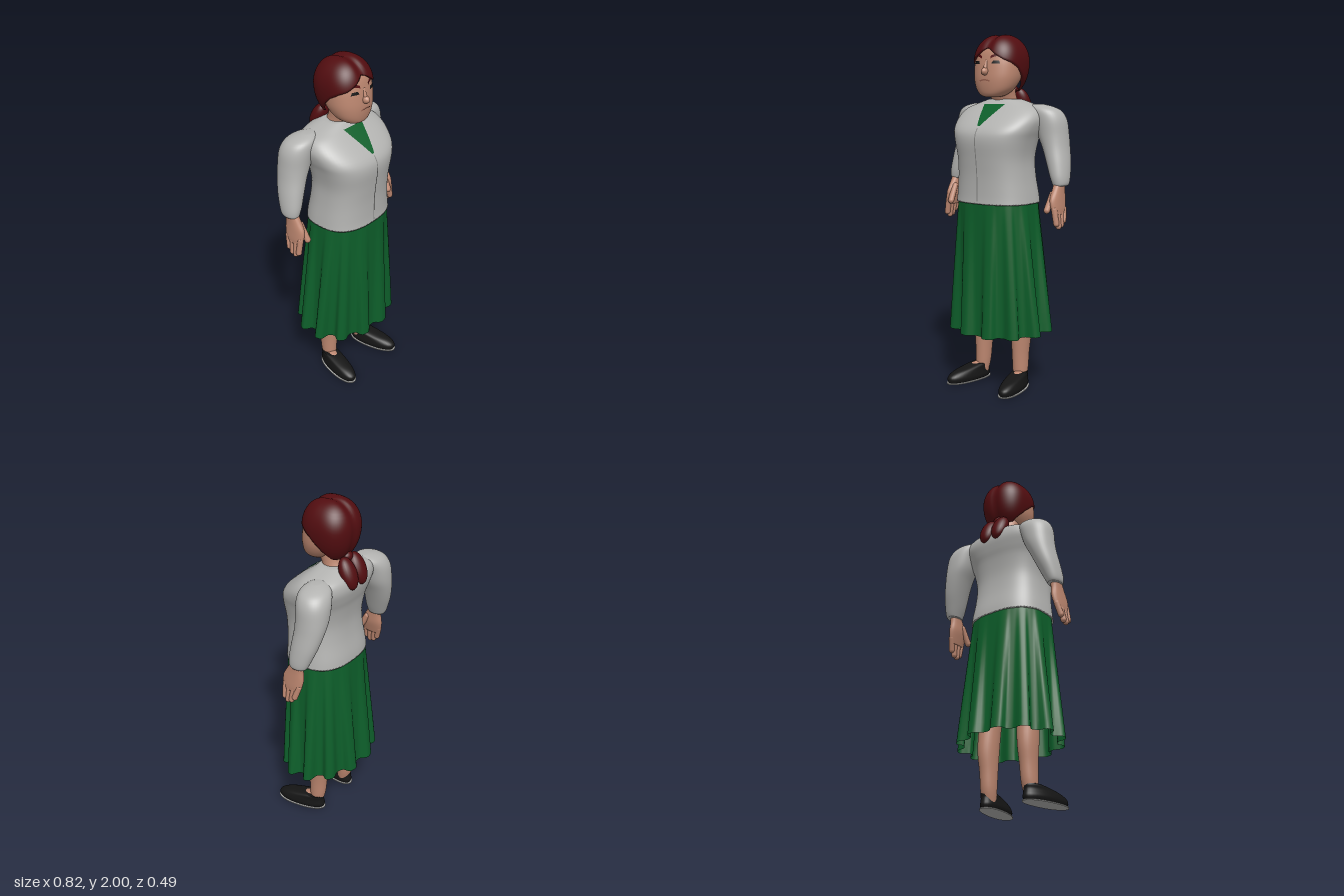
import * as THREE from 'three';

const mat = (name, color, side = THREE.FrontSide) => {
  const m = new THREE.MeshStandardMaterial({ color, side });
  m.name = name;
  return m;
};
const spow = (v, e) => Math.sign(v) * Math.abs(v) ** e;

// Closed rings of points (bottom to top) joined into a smooth skin.
function skin(rings, caps = true) {
  const n = rings[0].length, pos = rings.flat(2), idx = [];
  for (let i = 0; i < rings.length - 1; i++) {
    for (let j = 0; j < n; j++) {
      const a = i * n + j, b = i * n + (j + 1) % n;
      idx.push(a, b, b + n, a, b + n, a + n);
    }
  }
  if (caps) {
    for (const [r, flip] of [[0, true], [rings.length - 1, false]]) {
      const c = pos.length / 3;
      for (let k = 0; k < 3; k++) pos.push(rings[r].reduce((s, p) => s + p[k], 0) / n);
      for (let j = 0; j < n; j++) {
        const a = r * n + j, b = r * n + (j + 1) % n;
        idx.push(c, flip ? b : a, flip ? a : b);
      }
    }
  }
  const g = new THREE.BufferGeometry();
  g.setAttribute('position', new THREE.Float32BufferAttribute(pos, 3));
  g.setIndex(idx);
  g.computeVertexNormals();
  return g;
}

// Catmull-Rom refinement of section rows [y, cx, cz, rx, rz].
const spline = (p, a, b, q, t) => a + 0.5 * t * ((b - p)
  + t * (2 * p - 5 * a + 4 * b - q) + t * t * (3 * (a - b) + q - p));
function refine(rows, k = 4) {
  const out = [], at = i => rows[Math.max(0, Math.min(rows.length - 1, i))];
  for (let i = 0; i < rows.length - 1; i++) {
    for (let s = 0; s < k; s++) {
      out.push(at(i).map((v, c) => spline(at(i - 1)[c], v, at(i + 1)[c], at(i + 2)[c], s / k)));
    }
  }
  out.push(rows[rows.length - 1]);
  return out;
}

const loft = (rows, p = 2, n = 40) => skin(refine(rows).map(([y, cx, cz, rx, rz]) =>
  Array.from({ length: n }, (_, j) => {
    const a = j / n * Math.PI * 2;
    return [cx + rx * spow(Math.sin(a), 2 / p), y, cz + rz * spow(Math.cos(a), 2 / p)];
  })));

// Front depth of a lofted body at x, y.
function frontZ(rows, p, x, y) {
  const r = refine(rows);
  const i = r.findIndex((q, k) => k === r.length - 2 || r[k + 1][0] >= y);
  const t = (y - r[i][0]) / (r[i + 1][0] - r[i][0]);
  const [, , cz, rx, rz] = r[i].map((v, c) => v + (r[i + 1][c] - v) * t);
  return cz + rz * Math.max(0, 1 - Math.abs(x / rx) ** p) ** (1 / p);
}

// Thin painted patch lying on a lofted body; edge(v) gives [xLeft, xRight], lift(u) bends it.
function patch(rows, p, y0, y1, edge, lift = () => 0, nu = 12, nv = 10) {
  const g = new THREE.PlaneGeometry(1, 1, nu, nv), a = g.attributes.position;
  for (let i = 0; i < a.count; i++) {
    const u = a.getX(i) + 0.5, v = a.getY(i) + 0.5, [l, r] = edge(v);
    const x = l + (r - l) * u, y = y0 + (y1 - y0) * v + lift(u);
    a.setXYZ(i, x, y, frontZ(rows, p, x, y) + 0.004);
  }
  g.computeVertexNormals();
  return g;
}

function mirrored(g) {
  const m = g.clone().scale(-1, 1, 1), ix = m.index.array;
  for (let i = 0; i < ix.length; i += 3) [ix[i], ix[i + 1]] = [ix[i + 1], ix[i]];
  return m;
}

// Rounded limb between two points.
function capsule(a, b, r) {
  const A = new THREE.Vector3(...a), B = new THREE.Vector3(...b), d = B.clone().sub(A);
  const q = new THREE.Quaternion().setFromUnitVectors(new THREE.Vector3(0, 1, 0), d.clone().normalize());
  const c = A.add(B).multiplyScalar(0.5);
  return new THREE.CapsuleGeometry(r, d.length(), 6, 12).applyQuaternion(q).translate(c.x, c.y, c.z);
}
const ball = (x, y, z, rx, ry, rz, tilt = 0) =>
  new THREE.SphereGeometry(1, 24, 18).scale(rx, ry, rz).rotateX(tilt).translate(x, y, z);

export function createModel() {
  const model = new THREE.Group();
  const flesh = mat('skin', 0xbd8770), red = mat('darkRedHair', 0x520d10), grey = mat('greyWool', 0xb3b3b1);
  const green = mat('greenCloth', 0x0d5e2a, THREE.DoubleSide), black = mat('blackLeather', 0x151515);
  const lip = mat('lips', 0x96604f), seamGrey = mat('seamGrey', 0x858583);
  const add = (name, g, m) => {
    const mesh = new THREE.Mesh(g, m);
    mesh.name = name;
    model.add(mesh);
  };
  const pair = (name, g, m) => {
    add('left' + name, g, m);
    add('right' + name, mirrored(g), m);
  };

  // Cardigan body with the blouse showing in the V neck
  const torso = [
    [1.07, 0, .02, .236, .19], [1.12, 0, .021, .23, .186], [1.22, 0, .03, .218, .178],
    [1.32, 0, .037, .215, .18], [1.42, 0, .035, .235, .192], [1.48, 0, .018, .255, .192],
    [1.54, 0, -.018, .265, .168], [1.59, 0, -.045, .24, .132], [1.62, 0, -.05, .17, .1],
    [1.645, 0, -.045, .09, .07]];
  add('cardigan', loft(torso, 2.6, 64), grey);
  add('blouse', patch(torso, 2.6, 1.5, 1.618, v => [-.008 - .064 * v, .008 + .064 * v]), green);
  add('cardiganSeam', patch(torso, 2.6, 1.085, 1.49, () => [-.003, .003], () => 0, 1, 24), seamGrey);

  // Puffed sleeves
  pair('Sleeve', loft([
    [1.175, .366, -.068, .036, .05], [1.19, .366, -.07, .043, .057], [1.23, .357, -.076, .052, .067],
    [1.3, .338, -.09, .062, .078], [1.38, .313, -.102, .072, .085], [1.45, .291, -.105, .085, .09],
    [1.53, .272, -.1, .094, .092], [1.58, .248, -.09, .092, .082], [1.605, .225, -.08, .07, .058],
    [1.618, .21, -.075, .03, .025]], 2.1), grey);

  // Hands
  pair('Palm', loft([
    [1.02, .382, -.03, .016, .05], [1.05, .378, -.032, .021, .062], [1.1, .37, -.036, .026, .066],
    [1.15, .367, -.047, .026, .05], [1.2, .366, -.062, .027, .036]], 2.2, 24), flesh);
  [[-.078, .985], [-.047, .962], [-.016, .955], [.013, .972]].forEach(([z, y], i) =>
    pair('Finger' + (i + 1), capsule([.38, 1.05, z], [.393, y, z * .75], .0165), flesh));
  pair('Thumb', capsule([.352, 1.13, -.012], [.345, 1.045, .032], .018), flesh);

  // Pleated skirt: twelve folds that deepen towards the hem
  const n = 168, rows = 14, skirt = [];
  for (let i = 0; i <= rows; i++) {
    const t = i / rows, e = 2 / (2 + .5 * t);
    skirt.push(Array.from({ length: n }, (_, j) => {
      const a = j / n * Math.PI * 2;
      const fold = 1 + .095 * (1 - t) ** .9 * Math.tanh(-2 * Math.cos(12 * a));
      const hem = .337 - .02 * Math.cos(a);
      return [(.302 - .074 * t) * fold * spow(Math.sin(a), e), hem + (1.1 - hem) * t,
        .02 * t + (.228 - .045 * t) * fold * spow(Math.cos(a), e)];
    }));
  }
  add('skirt', skin(skirt, false), green);

  // Legs and flat shoes with pale soles
  pair('Leg', loft([
    [.03, .14, -.002, .035, .036], [.1, .137, -.012, .043, .048], [.2, .135, -.016, .047, .056],
    [.32, .135, -.02, .055, .068], [.5, .13, -.01, .063, .07], [.8, .12, .01, .085, .09]], 2, 28), flesh);
  const place = g => g.rotateY(.2).translate(.165, 0, .09);
  pair('Shoe', place(loft([
    [.006, 0, 0, .05, .146], [.025, 0, 0, .056, .152], [.045, 0, -.003, .054, .146],
    [.065, 0, -.022, .05, .124], [.08, 0, -.058, .047, .09], [.09, 0, -.085, .042, .06]], 2.2, 36)), black);
  pair('Instep', place(ball(0, .062, -.05, .036, .034, .075, .25)), flesh);
  pair('Sole', place(loft([[0, 0, 0, .06, .156], [.007, 0, 0, .06, .156]], 2.2, 36)), grey);

  // Neck, head and face
  add('neck', loft([
    [1.56, 0, -.05, .09, .075], [1.63, 0, -.04, .078, .068], [1.67, 0, -.025, .075, .068],
    [1.74, 0, 0, .08, .075]], 2, 32), flesh);
  const head = [
    [1.656, 0, .07, .035, .035], [1.668, 0, .062, .072, .064], [1.7, 0, .046, .108, .09],
    [1.75, 0, .028, .13, .113], [1.8, 0, .018, .137, .12], [1.86, 0, .008, .136, .121],
    [1.92, 0, -.005, .122, .115], [1.97, 0, -.015, .07, .07]];
  add('head', loft(head, 2.2, 48), flesh);
  add('nose', ball(0, 1.797, .136, .02, .022, .03), flesh);
  add('noseBridge', capsule([0, 1.85, .122], [0, 1.8, .142], .012), flesh);
  add('mouth', patch(head, 2.2, 1.741, 1.749, () => [-.034, .034], u => .006 * Math.sin(Math.PI * u)), lip);
  pair('Eye', patch(head, 2.2, 1.838, 1.854, v => [.04 + .008 * v, .088 - .008 * v]), black);
  pair('Eyebrow', patch(head, 2.2, 1.866, 1.88, () => [.03, .1], u => .012 * Math.sin(Math.PI * u)), red);

  // Hair cap: centre parting in front, longer towards the nape
  const line = [[0, 1.93], [20, 1.89], [40, 1.862], [60, 1.845], [80, 1.815], [100, 1.745], [125, 1.695], [181, 1.682]];
  const hairline = d => {
    const i = line.findIndex((q, k) => line[k + 1][0] >= d), [a, b] = [line[i], line[i + 1]];
    return a[1] + (b[1] - a[1]) * (d - a[0]) / (b[0] - a[0]);
  };
  const cap = [];
  for (let i = -1; i <= 18; i++) {
    const t = 1 - Math.max(0, i) / 18;
    cap.push(Array.from({ length: 72 }, (_, j) => {
      const a = j / 72 * Math.PI * 2, deg = Math.abs((a * 180 / Math.PI + 180) % 360 - 180);
      const h = hairline(deg) - 1.85, end = Math.acos(h / (h > 0 ? .153 : .2)), f = end * t;
      const r = Math.sin(f) ** .88 * (i < 0 ? .87 : 1);
      const x = .146 * r * spow(Math.sin(a), .82);
      const z = -.013 + .149 * r * spow(Math.cos(a), .82);
      const part = .014 * Math.exp(-((x / .022) ** 2));
      return [x, 1.85 + Math.cos(f) * (f < Math.PI / 2 ? .153 : .2) - part * Math.max(0, Math.cos(f)),
        z - part * .7 * r * Math.cos(a)];
    }));
  }
  add('hair', skin(cap, false), red);

  // Two-lobed ponytail
  add('hairTie', ball(0, 1.695, -.112, .035, .03, .03), red);
  pair('PonytailLobe', ball(.042, 1.62, -.152, .052, .092, .043, .42), red);
  return model;
}
